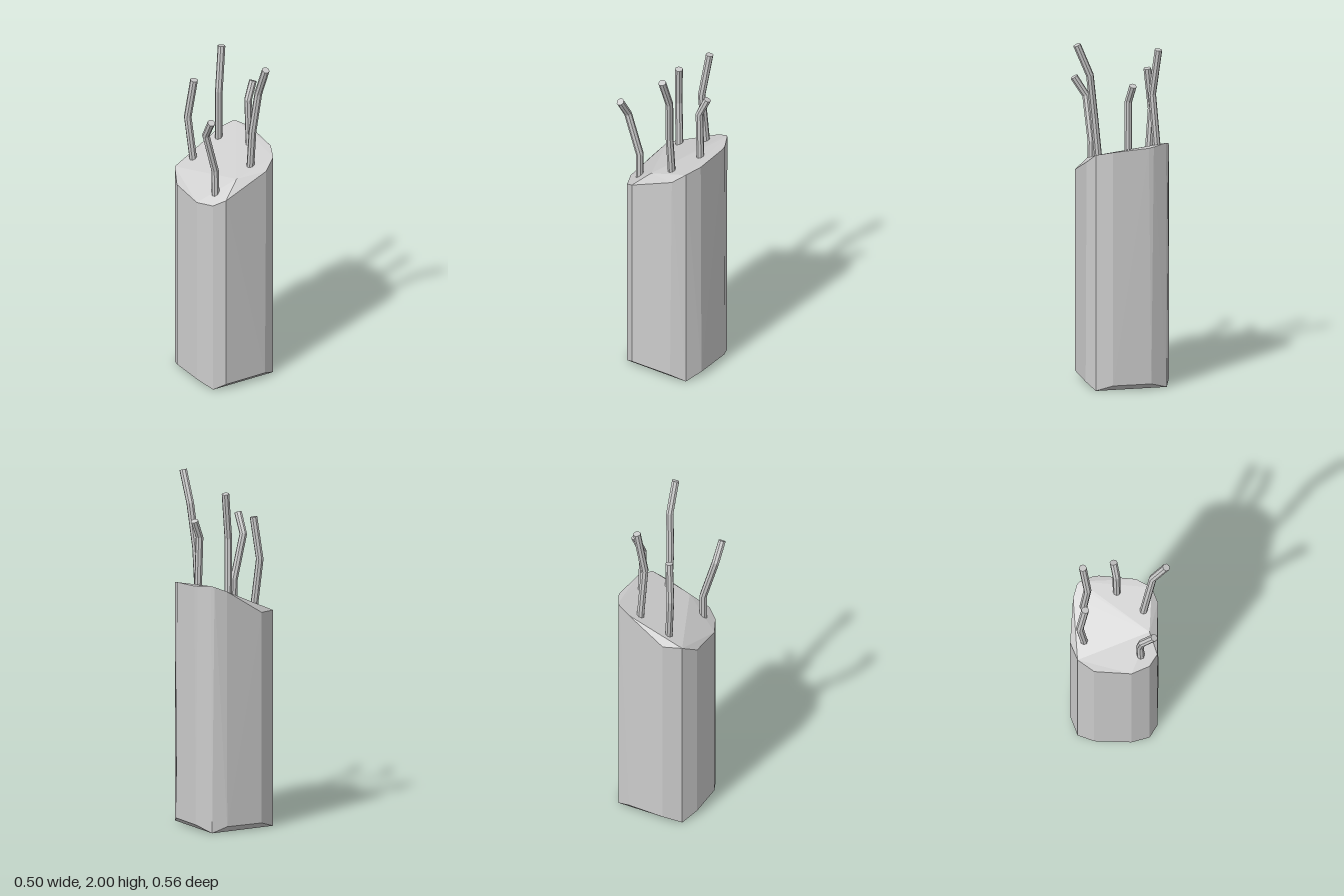
import * as THREE from 'three';
import { ConvexGeometry } from 'three/addons/geometries/ConvexGeometry.js';

const material = new THREE.MeshStandardMaterial({ color: 0xcccccc, flatShading: true });

// Bent bar: a cylinder whose rings are moved onto the points of a path
function bentBar(path, radius = 0.022) {
  const points = path.map((p) => new THREE.Vector3(...p));
  const last = points.length - 1;
  const up = new THREE.Vector3(0, 1, 0);
  const turns = points.map((p, i) => {
    const before = points[Math.max(i - 1, 0)];
    const after = points[Math.min(i + 1, last)];
    return new THREE.Quaternion().setFromUnitVectors(up, after.clone().sub(before).normalize());
  });
  const geometry = new THREE.CylinderGeometry(radius, radius, 1, 8, last);
  const pos = geometry.attributes.position;
  const v = new THREE.Vector3();
  for (let k = 0; k < pos.count; k++) {
    v.fromBufferAttribute(pos, k);
    const i = Math.round((v.y + 0.5) * last);
    v.setY(0).applyQuaternion(turns[i]).add(points[i]);
    pos.setXYZ(k, v.x, v.y, v.z);
  }
  geometry.computeVertexNormals();
  return geometry;
}

export function createModel() {
  const group = new THREE.Group();

  // Column outline: x, z, height of the bottom edge
  const bottom = [
    [-0.2, 0.17, 0], [0.2, 0.17, 0], [0.2, -0.24, 0], [-0.2, -0.235, 0],
    [-0.14, 0.212, 0.035], [0.12, 0.21, 0.035],
    [0.245, 0.08, 0.035], [0.248, -0.14, 0.035],
    [0.12, -0.272, 0.035], [-0.1, -0.28, 0.035],
    [-0.245, -0.14, 0.035], [-0.245, 0.07, 0.035],
  ];
  // Slanted broken top: x, z, height
  const top = [
    [-0.2, 0.17, 1.17], [-0.14, 0.212, 1.205], [0.13, 0.207, 1.315], [0.2, 0.17, 1.37],
    [-0.04, 0.165, 1.295], [0.24, 0.08, 1.39], [0.248, -0.125, 1.405], [0.244, -0.155, 1.41],
    [0.205, -0.235, 1.42], [0.19, -0.25, 1.415], [0.12, -0.27, 1.385],
    [-0.1, -0.28, 1.245], [-0.2, -0.235, 1.24], [-0.245, -0.14, 1.18], [-0.245, 0.07, 1.16],
  ];
  const corners = [...bottom, ...top].map(([x, z, y]) => new THREE.Vector3(x, y, z));
  const column = new THREE.Mesh(new ConvexGeometry(corners), material);
  column.name = 'concreteColumn';
  group.add(column);

  // Reinforcing bars sticking out of the broken top
  const bars = {
    frontLeftBar: [[0.075, 1.25, 0.12], [0.075, 1.56, 0.15], [0.095, 1.81, 0.18], [0.097, 1.99, 0.255]],
    frontRightBar: [[-0.15, 1.15, 0.12], [-0.152, 1.36, 0.115], [-0.222, 1.61, 0.13], [-0.228, 1.72, 0.198]],
    backRightBar: [[-0.092, 1.2, -0.195], [-0.12, 1.54, -0.225], [-0.097, 1.78, -0.195]],
    backLeftBar: [[0.08, 1.3, -0.215], [0.063, 1.67, -0.187], [0.098, 1.935, -0.215]],
    leftBar: [[0.167, 1.3, -0.025], [0.157, 1.66, -0.028], [0.2, 1.76, -0.045]],
  };
  for (const [name, path] of Object.entries(bars)) {
    const bar = new THREE.Mesh(bentBar(path), material);
    bar.name = name;
    group.add(bar);
  }
  return group;
}
